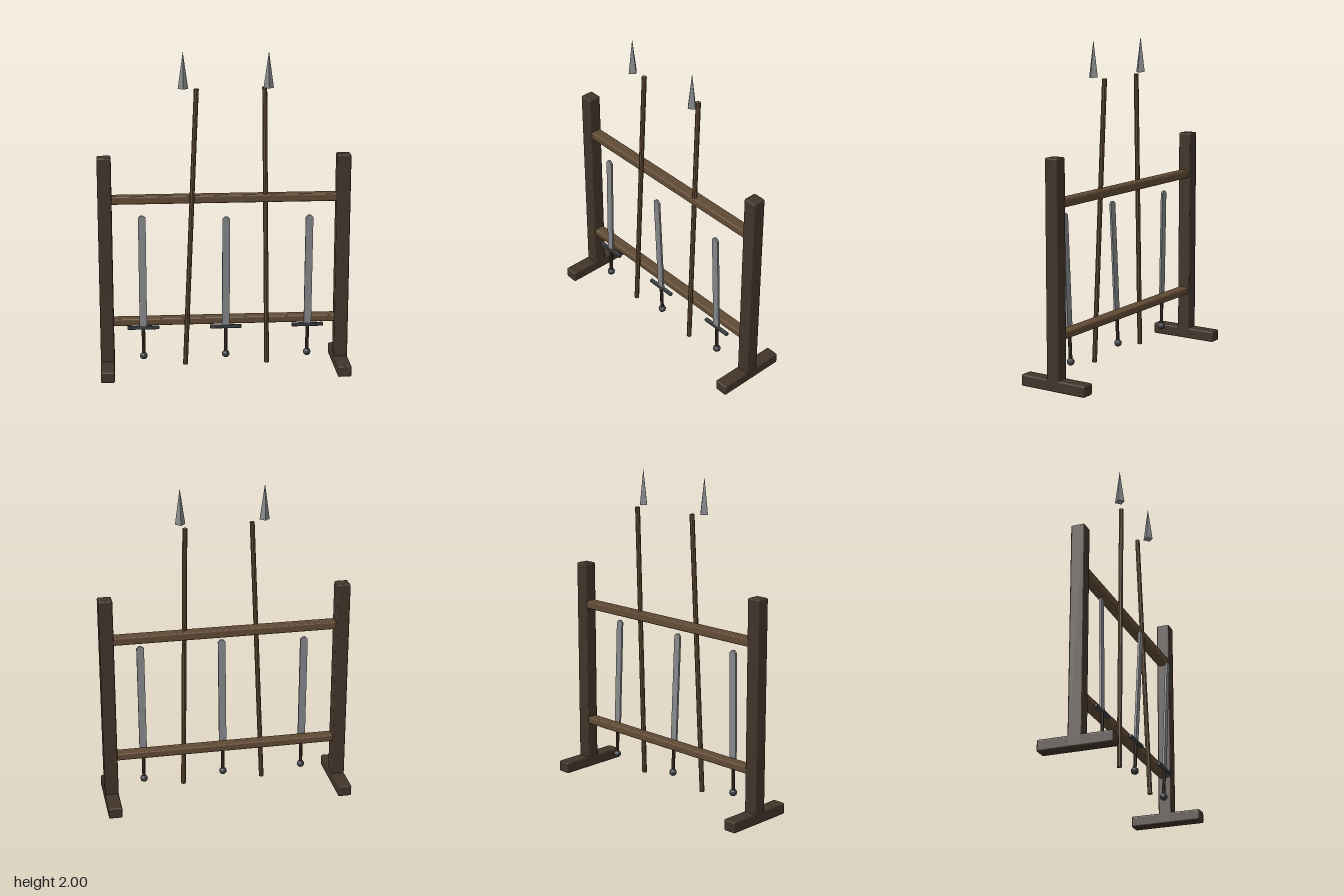
import * as THREE from 'three';
import { RoundedBoxGeometry } from 'three/addons/geometries/RoundedBoxGeometry.js';

const material = (color) => new THREE.MeshStandardMaterial({ color, flatShading: true });
const darkWood = material(0x41342a);
const wood = material(0x604a34);
const steel = material(0x85878a);
const iron = material(0x3d4044);

function add(parent, name, geometry, mat, x, y, z) {
  const mesh = new THREE.Mesh(geometry, mat);
  mesh.name = name;
  mesh.position.set(x, y, z);
  parent.add(mesh);
  return mesh;
}

const beam = (w, h, d, r = 0.01) => new RoundedBoxGeometry(w, h, d, 2, r);

// Wooden pole between two points
function pole(parent, name, from, to, radius) {
  const dir = to.clone().sub(from);
  const mid = from.clone().add(to).multiplyScalar(0.5);
  const mesh = add(parent, name, new THREE.CylinderGeometry(radius, radius, dir.length(), 8),
    wood, mid.x, mid.y, mid.z);
  mesh.quaternion.setFromUnitVectors(new THREE.Vector3(0, 1, 0), dir.normalize());
}

// Flat blade with clipped tip corners, rising from y = 0
function bladeGeometry() {
  const w = 0.023, h = 0.71, t = 0.013;
  const shape = new THREE.Shape();
  shape.moveTo(-w, 0);
  shape.lineTo(w, 0);
  shape.lineTo(w, h - 0.015);
  shape.lineTo(0.008, h);
  shape.lineTo(-0.008, h);
  shape.lineTo(-w, h - 0.015);
  const geometry = new THREE.ExtrudeGeometry(shape, { depth: t, bevelEnabled: false });
  return geometry.translate(0, 0, -t / 2);
}

// Sword standing on its pommel, origin at the guard
function sword(x, z, tilt) {
  const group = new THREE.Group();
  group.name = 'sword';
  add(group, 'blade', bladeGeometry(), steel, 0, 0, 0);
  add(group, 'guard', beam(0.196, 0.021, 0.022, 0.005), iron, 0, 0, 0);
  add(group, 'grip', new THREE.CylinderGeometry(0.011, 0.011, 0.17, 8), darkWood, 0, -0.09, 0);
  add(group, 'pommel', new THREE.IcosahedronGeometry(0.024, 1), iron, 0, -0.182, 0);
  group.position.set(x, 0.294, z);
  group.rotation.x = tilt;
  return group;
}

// Spear: leaning shaft with a separate four-sided head
function spear(headX, from, to) {
  const group = new THREE.Group();
  group.name = 'spear';
  pole(group, 'spearShaft', new THREE.Vector3(...from), new THREE.Vector3(...to), 0.015);
  add(group, 'spearHead', new THREE.ConeGeometry(0.031, 0.22, 4), steel, headX, 1.89, 0.055);
  return group;
}

export function createModel() {
  const model = new THREE.Group();
  model.name = 'weaponRack';

  // Side posts on long feet
  for (const side of [-1, 1]) {
    add(model, 'post', beam(0.085, 1.36, 0.085), darkWood, side * 0.728, 0.683, -0.002);
    add(model, 'foot', beam(0.085, 0.07, 0.45), darkWood, side * 0.728, 0.035, 0);
  }

  // Cross rails
  add(model, 'upperRail', beam(1.42, 0.05, 0.07), wood, 0, 1.096, -0.003);
  add(model, 'lowerRail', beam(1.42, 0.046, 0.07), wood, 0, 0.321, -0.003);

  // Leaning weapons
  model.add(sword(-0.505, 0.052, -0.015));
  model.add(sword(0.004, 0.063, 0.046));
  model.add(sword(0.512, 0.06, 0.04));
  model.add(spear(-0.25, [-0.247, 0.05, 0.055], [-0.17, 1.775, 0.035]));
  model.add(spear(0.26, [0.26, 0.05, 0.055], [0.243, 1.775, -0.012]));
  return model;
}
